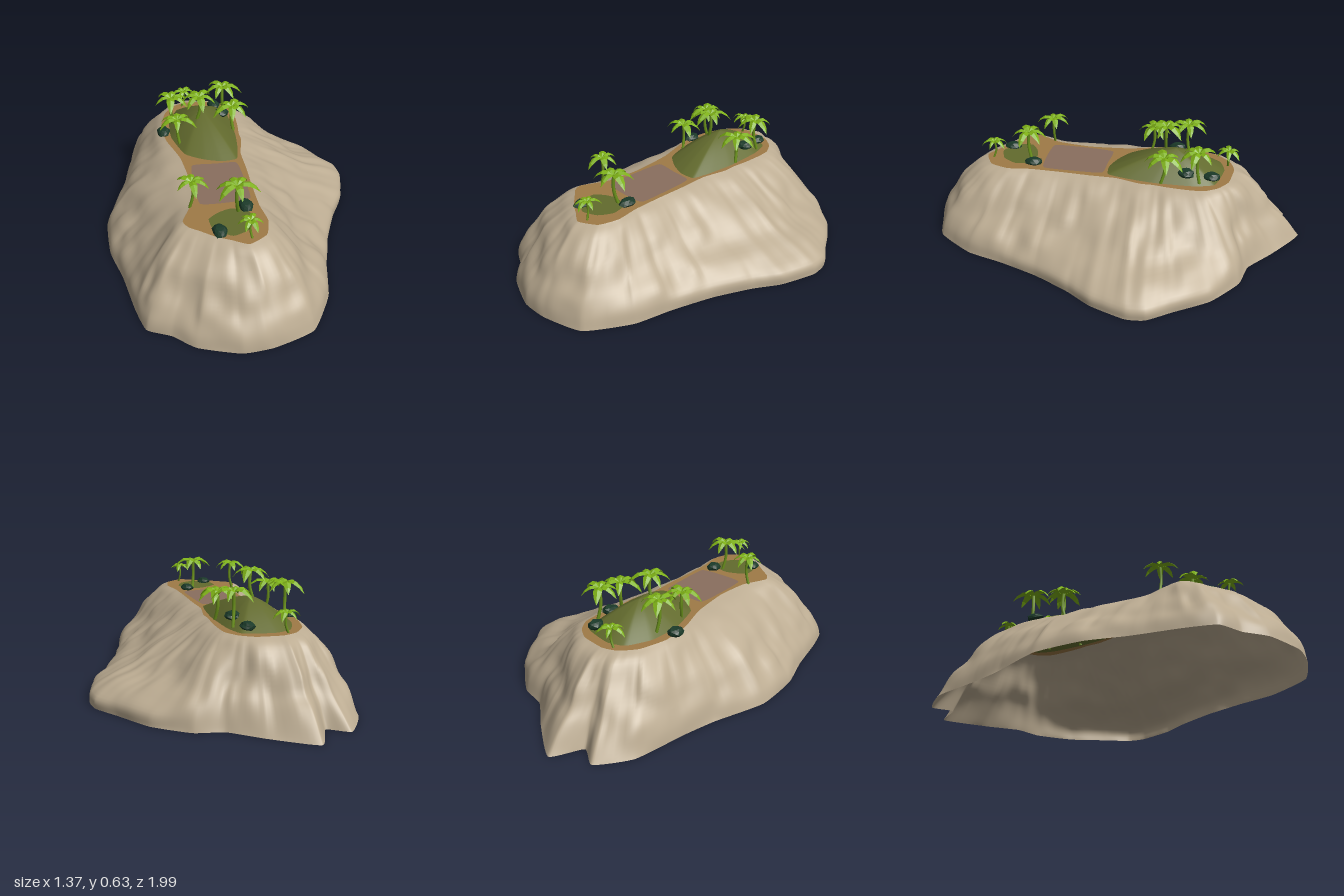
import * as THREE from 'three';
import { mergeGeometries } from 'three/addons/utils/BufferGeometryUtils.js';

const mat = (name, color, double = true) => {
  const m = new THREE.MeshStandardMaterial({ color, side: double ? THREE.DoubleSide : THREE.FrontSide });
  m.name = name;
  return m;
};

const TOP = 0.38; // plateau height

// Foot of the cliff and rim of the plateau, paired: footX, footZ, rimX, rimZ
const OUTLINE = [
  -.16, -1, -.14, -.62, .04, -.86, -.02, -.6, .18, -.74, .05, -.55, .32, -.7, .09, -.48,
  .48, -.57, .095, -.4, .59, -.4, .09, -.3, .67, -.28, .08, -.22, .68, -.18, .08, -.15,
  .62, 0, .05, -.02, .54, .13, .05, .12, .45, .32, .045, .28, .38, .53, .045, .44,
  .33, .72, .06, .56, .2, .92, .03, .66, 0, .985, -.06, .71, -.15, .99, -.13, .67,
  -.34, .92, -.2, .63, -.44, .83, -.26, .58, -.55, .77, -.31, .54, -.59, .63, -.33, .49,
  -.63, .4, -.27, .36, -.68, .2, -.25, .18, -.68, -.05, -.27, -.04, -.58, -.32, -.32, -.22,
  -.53, -.5, -.33, -.38, -.47, -.77, -.29, -.52, -.35, -.92, -.23, -.59, -.25, -.86, -.19, -.61,
];
const HILL = [-.13, -.57, .02, -.53, .055, -.42, .06, -.22, .045, -.08, .02, .025, -.06, .035, -.15, 0, -.24, -.07, -.29, -.25, -.28, -.42, -.22, -.54];
const DIRT = [-.22, .045, -.1, .05, .01, .06, .02, .2, .015, .375, -.1, .39, -.23, .375, -.235, .2];
const LAWN = [-.1, .44, -.02, .46, .0, .54, -.04, .61, -.12, .64, -.2, .58, -.21, .5, -.16, .46];

// Closed loop with lightly rounded corners through flat x, z pairs
function loop(flat, n, stride = 2, offset = 0) {
  const pts = [];
  for (let i = offset; i < flat.length; i += stride) pts.push(new THREE.Vector3(flat[i], 0, flat[i + 1]));
  return new THREE.CatmullRomCurve3(pts, true, 'catmullrom', .25).getPoints(n).slice(0, n);
}

// Surface through rows of points; closed rows wrap around
function skin(rows, closed) {
  const n = rows[0].length, index = [];
  for (let r = 0; r < rows.length - 1; r++) {
    for (let i = 0; i < (closed ? n : n - 1); i++) {
      const a = r * n + i, b = r * n + (i + 1) % n;
      index.push(a, a + n, b, b, a + n, b + n);
    }
  }
  const g = new THREE.BufferGeometry().setFromPoints(rows.flat());
  g.setIndex(index);
  g.computeVertexNormals();
  return g;
}

// Flat ground patch, with optional holes
function patch(points, holes = []) {
  const flat = (pts) => pts.map((p) => new THREE.Vector2(p.x, -p.z));
  const shape = new THREE.Shape(flat(points));
  shape.holes = holes.map((h) => new THREE.Path(flat(h)));
  return new THREE.ShapeGeometry(shape).rotateX(-Math.PI / 2).translate(0, TOP, 0);
}

// Repeatable random value on a 3D lattice
function hash(x, y, z) {
  const s = Math.sin(x * 127.1 + y * 311.7 + z * 74.7) * 43758.5453;
  return s - Math.floor(s);
}

// Smooth noise from -1 to 1
function noise(x, y, z) {
  const X = Math.floor(x), Y = Math.floor(y), Z = Math.floor(z);
  const ease = (t) => t * t * (3 - 2 * t);
  const u = ease(x - X), v = ease(y - Y), w = ease(z - Z);
  const { lerp } = THREE.MathUtils;
  const edge = (j, k) => lerp(hash(X, Y + j, Z + k), hash(X + 1, Y + j, Z + k), u);
  return 2 * lerp(lerp(edge(0, 0), edge(1, 0), v), lerp(edge(0, 1), edge(1, 1), v), w) - 1;
}

// Weathered cliff: open shell lofted from foot to rim
function cliffGeometry(foot, rim) {
  const ys = [0, .06, .12, .18, .27, .35, TOP];
  const profile = (s) => new THREE.SplineCurve(s.map((v, i) => new THREE.Vector2(v, ys[i])));
  const steep = profile([0, .05, .15, .3, .52, .8, 1]);
  const spur = profile([0, .01, .18, .42, .67, .89, 1]);
  const tail = profile([0, .13, .28, .44, .61, .82, 1]);
  const { lerp, smoothstep } = THREE.MathUtils;
  const rows = [], R = 28;
  for (let r = 0; r <= R; r++) {
    const t = r / R, a = steep.getPoint(t), b = spur.getPoint(t), c = tail.getPoint(t);
    rows.push(foot.map((f, i) => {
      const s = lerp(lerp(a.x, b.x, smoothstep(f.x, .2, .55)), c.x, smoothstep(-f.z, .6, .9));
      const p = f.clone().lerp(rim[i], s).setY(a.y);
      const out = f.clone().sub(rim[i]).normalize();
      // Broad lumps, plus gullies that run down the slope
      const bump = .016 * noise(p.x * 9, p.y * 9, p.z * 9) + .01 * noise(f.x * 19, p.y * 7, f.z * 19);
      const fade = Math.sin(Math.PI * t);
      p.addScaledVector(out, bump * fade);
      p.y += .5 * bump * fade;
      return p;
    }));
  }
  return skin(rows, true);
}

// Grassy mound rising from its outline to a rounded peak
function hillGeometry(outline) {
  const peak = new THREE.Vector3(-.11, 0, -.31), rows = [];
  for (let r = 0; r <= 10; r++) {
    const t = r / 10, rise = .06 * (t + Math.sin(t * Math.PI / 2));
    rows.push(outline.map((p) => p.clone().lerp(peak, t).setY(TOP + rise)));
  }
  return skin(rows, true);
}

// One arching frond, folded along its midrib, pointing along +x
function frondGeometry() {
  const rows = [];
  for (const [x, y, w] of [[0, 0, .07], [.25, .17, .18], [.52, .17, .2], [.8, -.04, .13], [1, -.34, .01]]) {
    rows.push([-1, 0, 1].map((k) => new THREE.Vector3(x, y - Math.abs(k) * w * .45, k * w)));
  }
  return skin(rows, false).toNonIndexed();
}

function crownGeometry(count) {
  const parts = [];
  for (let i = 0; i < count; i++) {
    const k = 1 + .12 * Math.sin(i * 2.4);
    parts.push(frondGeometry().scale(k, k, k).rotateY((i / count) * Math.PI * 2 + .2 * Math.sin(i * 5)));
  }
  const g = mergeGeometries(parts);
  g.computeVertexNormals();
  return g;
}

export function createModel() {
  const model = new THREE.Group();
  model.name = 'island';
  const rock = mat('rock', 0xbcac92), sand = mat('sand', 0x9f7a46), dirt = mat('dirt', 0x8a6e5e);
  const grass = mat('grass', 0x636b2e), leaf = mat('palm leaf', 0x7db016);
  const bark = mat('palm trunk', 0x6c941c, false), shrub = mat('shrub', 0x1b3a29, false);
  const add = (name, geometry, material, parent = model) => {
    const m = new THREE.Mesh(geometry, material);
    m.name = name;
    parent.add(m);
    return m;
  };

  // Ground
  const N = 280;
  const foot = loop(OUTLINE, N, 4, 0), rim = loop(OUTLINE, N, 4, 2);
  const hill = loop(HILL, 72), yard = loop(DIRT, 48), lawn = loop(LAWN, 40);
  add('cliff', cliffGeometry(foot, rim), rock);
  add('sandRim', patch(rim, [hill, yard, lawn]), sand);
  add('dirtYard', patch(yard), dirt);
  add('lawn', patch(lawn), grass);
  add('hill', hillGeometry(hill), grass);

  // Palms: x, z, trunk foot height, crown height, frond length, fronds
  const palms = [
    [-.175, -.585, .37, .475, .07, 6], [-.27, -.36, .38, .56, .1, 6], [-.26, -.175, .38, .53, .095, 6],
    [-.13, -.255, .47, .61, .1, 6], [.03, -.44, .39, .56, .1, 6], [.05, -.27, .38, .525, .105, 6],
    [-.27, .39, .37, .525, .085, 6], [-.07, .475, .37, .535, .1, 6], [-.045, .66, .37, .475, .065, 6],
  ];
  palms.forEach(([x, z, y0, y1, len, count], i) => {
    const palm = new THREE.Group();
    palm.name = 'palm';
    const lean = new THREE.Vector3(Math.cos(i * 2.1), 0, Math.sin(i * 2.1)).multiplyScalar(.015);
    const path = new THREE.CatmullRomCurve3([
      new THREE.Vector3(x, y0, z).sub(lean),
      new THREE.Vector3(x, (y0 + y1) / 2, z).addScaledVector(lean, .3),
      new THREE.Vector3(x, y1, z),
    ]);
    add('trunk', new THREE.TubeGeometry(path, 6, len * .085, 6), bark, palm);
    const crown = add('fronds', crownGeometry(count), leaf, palm);
    crown.position.set(x, y1, z);
    crown.scale.setScalar(len);
    crown.rotation.y = i * 1.3;
    model.add(palm);
  });

  // Shrubs: x, y, z
  for (const [x, y, z] of [[-.02, .39, .44], [-.175, .385, .6], [-.01, .41, -.51], [-.325, .39, -.3], [.015, .43, -.38]]) {
    const g = new THREE.IcosahedronGeometry(1, 1), p = g.attributes.position;
    for (let i = 0; i < p.count; i++) {
      const k = 1 + .12 * Math.sin(p.getX(i) * 7 + p.getY(i) * 5 + p.getZ(i) * 9 + x * 40);
      p.setXYZ(i, p.getX(i) * k * .036, p.getY(i) * k * .022, p.getZ(i) * k * .044);
    }
    g.computeVertexNormals();
    add('shrub', g, shrub).position.set(x, y, z);
  }
  return model;
}
